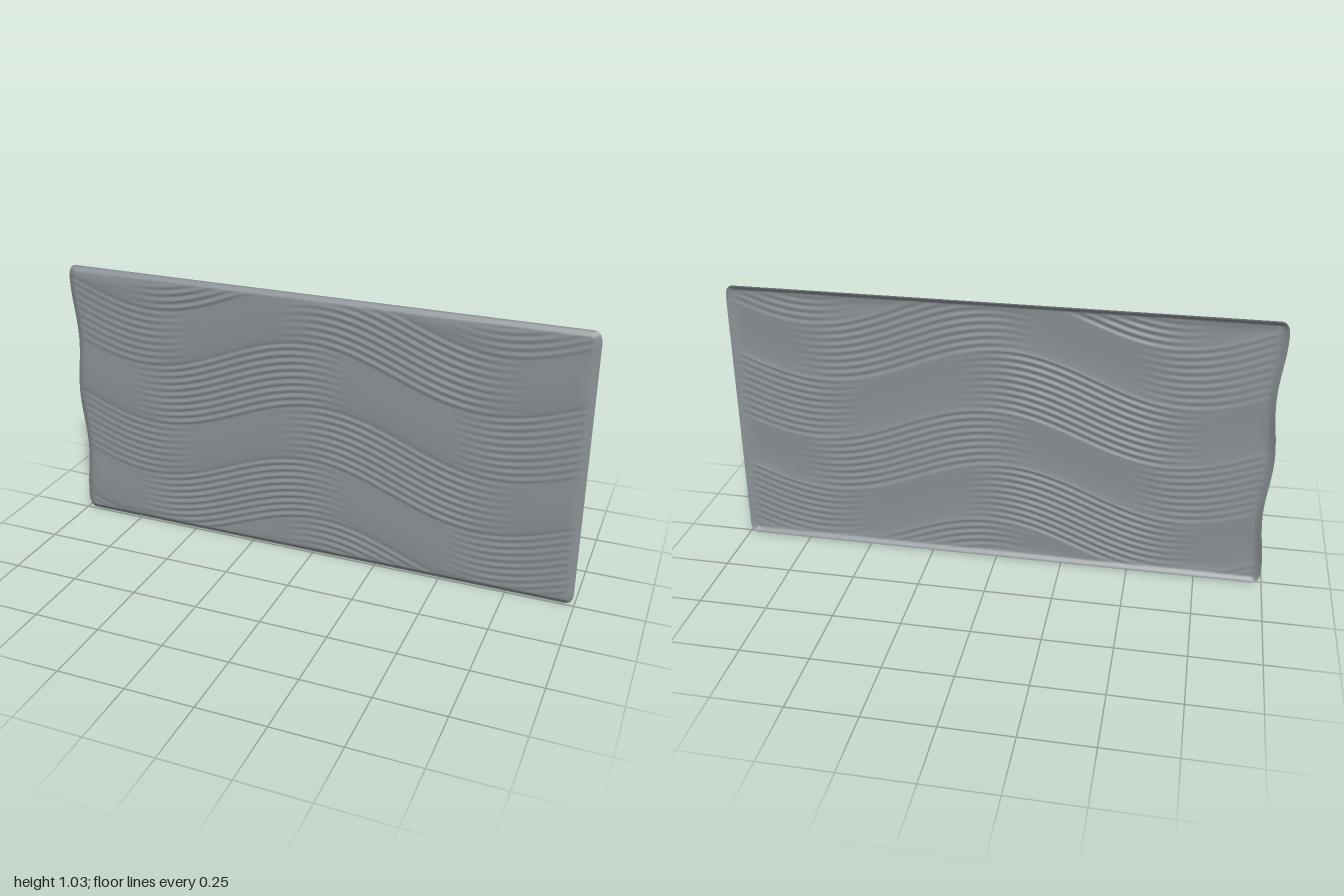
import * as THREE from 'three';

const HEIGHT = 1.035, HALF = 0.995, CORNER = 0.045;
const PERIOD = 0.46;   // vertical repeat of the wave bands
const SPLIT = 0.24;    // height of the lower band within one repeat
const smooth = THREE.MathUtils.smoothstep;

// Main wave line sweeping across the panel
const waveLine = x => 0.53 + 0.085 * Math.cos((x - 0.03) * Math.PI * 2 / 1.32);

// Height of the relief: two alternating bands, each fading from ribbed to smooth
function relief(x, y) {
  const s = (((y - waveLine(x)) % PERIOD) + PERIOD) % PERIOD;
  const phase = (x + 0.31) * Math.PI * 2 / 1.27;
  const split = SPLIT + 0.02 * Math.cos(phase);
  const lower = s < split;
  const t = lower ? s / split : (s - split) / (PERIOD - split);
  const wave = 0.5 + 0.5 * Math.cos(phase) * (lower ? 1 : -1);
  const ribbed = smooth(wave, 0.05, 0.85);
  const edgeFade = 1 - 0.5 * smooth(Math.abs(x), 0.5, 0.95);
  const ribs = lower ? 9 : 8;
  const rib = -Math.cos(t * ribs * Math.PI * 2) * 0.0021 * edgeFade;
  // smooth bands swell most just above their lower line
  const swell = Math.sin(Math.PI * Math.pow(t, 0.55)) * 0.0048 - 0.0021 * edgeFade;
  return 0.004 + rib * ribbed + swell * (1 - ribbed);
}

// Sheet with rounded corners, wavy left side and a rim turned back
function sheetGeometry() {
  const geo = new THREE.PlaneGeometry(2, 1, 190, 330);
  const pos = geo.attributes.position;
  for (let i = 0; i < pos.count; i++) {
    const u = pos.getX(i), v = pos.getY(i) + 0.5;
    const y = 0.003 + v * HEIGHT;
    const d = Math.max(0, CORNER - Math.min(v, 1 - v) * HEIGHT);
    const inset = 0.6 * (CORNER - Math.sqrt(CORNER * CORNER - d * d));
    const notch = u < 0 ? 0.009 * (1 - Math.cos((y - 0.52) * Math.PI * 2 / PERIOD)) * -u : 0;
    const x = u * (HALF - inset - notch);
    const edge = Math.min((1 - Math.abs(u)) * HALF, v * HEIGHT, (1 - v) * HEIGHT);
    const inner = smooth(edge, 0.005, 0.05);
    const z = THREE.MathUtils.lerp(0.002, relief(x, y), inner);
    pos.setXYZ(i, x, y, THREE.MathUtils.lerp(-0.01, z, smooth(edge, 0, 0.022)));
  }
  geo.computeVertexNormals();
  return geo;
}

export function createModel() {
  const group = new THREE.Group();
  group.name = 'wavePanel';
  const grey = new THREE.MeshStandardMaterial({ color: 0x8b9195, side: THREE.DoubleSide });
  grey.name = 'grey';
  const panel = new THREE.Mesh(sheetGeometry(), grey);
  panel.name = 'rippledSheet';
  group.add(panel);
  return group;
}
